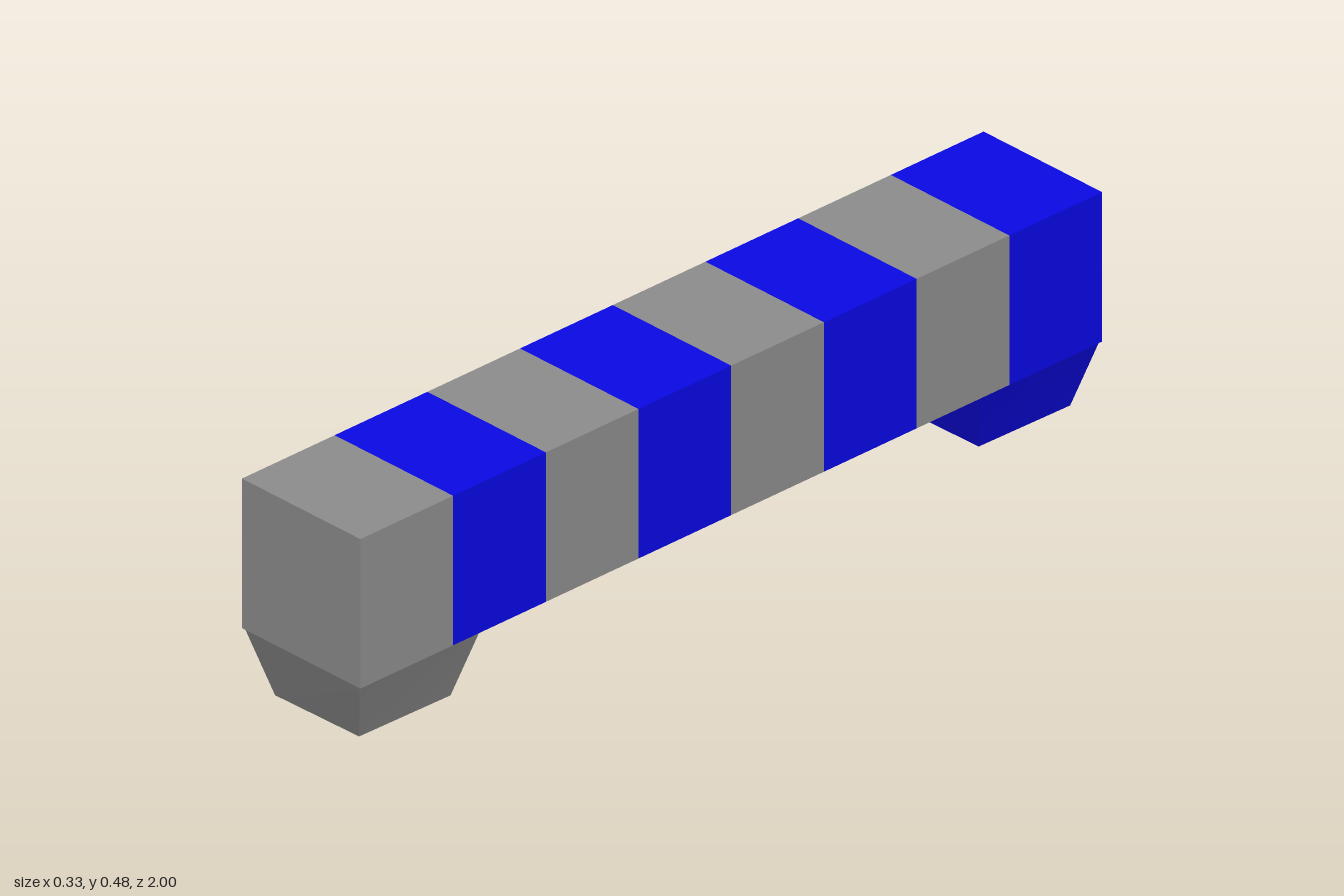
import * as THREE from 'three';

const grey = new THREE.MeshStandardMaterial({ color: 0x8e8e8e });
const blue = new THREE.MeshStandardMaterial({ color: 0x0a08e7 });

const WIDTH = 0.334, BASE = 0.15, TOP = 0.484, SEGMENTS = 8;

// Tapered block: square top, smaller bottom that is slightly skewed and shifted
function footGeometry() {
  const geometry = new THREE.BoxGeometry(1, BASE, 1);
  const p = geometry.attributes.position;
  const skew = 0.02;
  for (let i = 0; i < p.count; i++) {
    const x = p.getX(i), z = p.getZ(i);
    if (p.getY(i) > 0) {
      p.setXYZ(i, x * 0.324, BASE, z * 0.324);
    } else {
      const bx = x * 0.232, bz = z * 0.242;
      p.setXYZ(i, bx - bz * skew - 0.004, 0, bz - bx * skew - 0.005);
    }
  }
  geometry.computeVertexNormals();
  return geometry;
}

export function createModel() {
  const model = new THREE.Group();
  const add = (name, geometry, material, y, z) => {
    const mesh = new THREE.Mesh(geometry, material);
    mesh.name = name;
    mesh.position.set(0, y, z);
    model.add(mesh);
  };

  // Striped beam, alternating from blue at the back to grey at the front
  const length = 2 / SEGMENTS;
  const block = new THREE.BoxGeometry(WIDTH, TOP - BASE, length);
  for (let i = 0; i < SEGMENTS; i++) {
    add(`beamStripe${i + 1}`, block, i % 2 ? grey : blue, (TOP + BASE) / 2, -1 + (i + 0.5) * length);
  }

  // Feet under both ends
  const foot = footGeometry();
  add('frontFoot', foot, grey, 0, 0.835);
  add('backFoot', foot, blue, 0, -0.836);
  return model;
}
